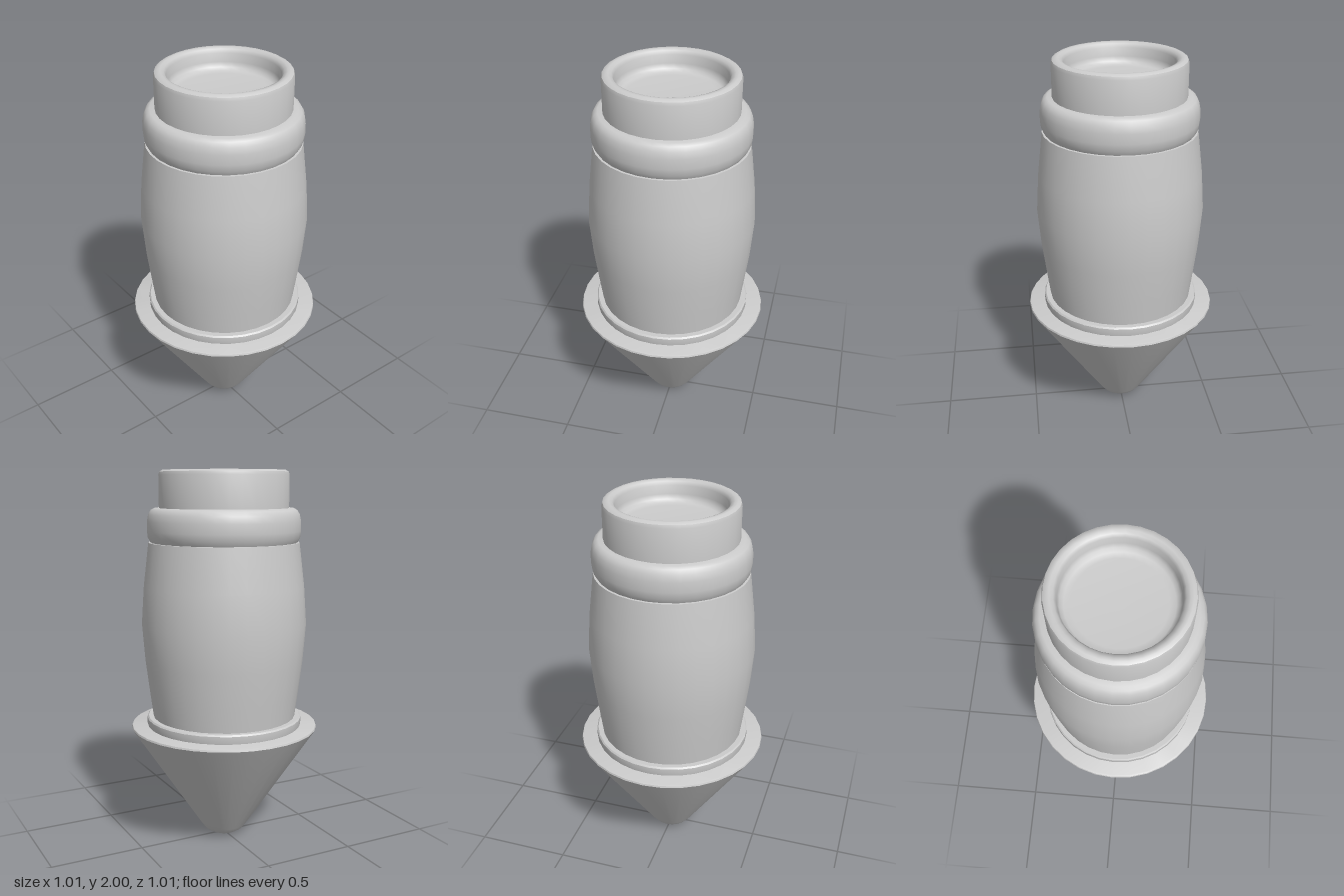
import * as THREE from 'three';
import { toCreasedNormals } from 'three/addons/utils/BufferGeometryUtils.js';

const SIDES = 32;

export function createModel() {
  const group = new THREE.Group();
  const material = new THREE.MeshStandardMaterial({ color: 0xcccccc });

  // Turned part from [radius, height] pairs, listed from the bottom up the outside
  function turned(name, profile) {
    const points = profile.map(([r, y]) => new THREE.Vector2(r, y));
    const geometry = toCreasedNormals(new THREE.LatheGeometry(points, SIDES), 0.7);
    const mesh = new THREE.Mesh(geometry, material);
    mesh.name = name;
    group.add(mesh);
  }

  // Pointed base with a blunt rounded tip and a flat ledge
  turned('coneTip', [
    [0, 0], [0.04, 0.003], [0.075, 0.014], [0.105, 0.033], [0.125, 0.058],
    [0.497, 0.62], [0.506, 0.634], [0.503, 0.643], [0.494, 0.646], [0, 0.646],
  ]);

  // Thin step between cone and body
  turned('baseRing', [
    [0.417, 0.64], [0.42, 0.65], [0.42, 0.686], [0.413, 0.694], [0, 0.694],
  ]);

  // Bulging barrel
  turned('body', [
    [0.385, 0.68], [0.403, 0.82], [0.425, 1.0], [0.44, 1.2],
    [0.426, 1.4], [0.398, 1.63], [0, 1.65],
  ]);

  // Rounded shoulder collar
  turned('collar', [
    [0.36, 1.622], [0.385, 1.628], [0.4, 1.655], [0.404, 1.69], [0.403, 1.74],
    [0.396, 1.775], [0.383, 1.797], [0.365, 1.807], [0.3, 1.807],
  ]);

  // Neck with a rounded rim and a shallow cup
  turned('neck', [
    [0.34, 1.79], [0.34, 1.975], [0.335, 1.991], [0.32, 2], [0.305, 2],
    [0.288, 1.993], [0.278, 1.975], [0.276, 1.93], [0.268, 1.905],
    [0.25, 1.893], [0.22, 1.89], [0, 1.89],
  ]);

  return group;
}
